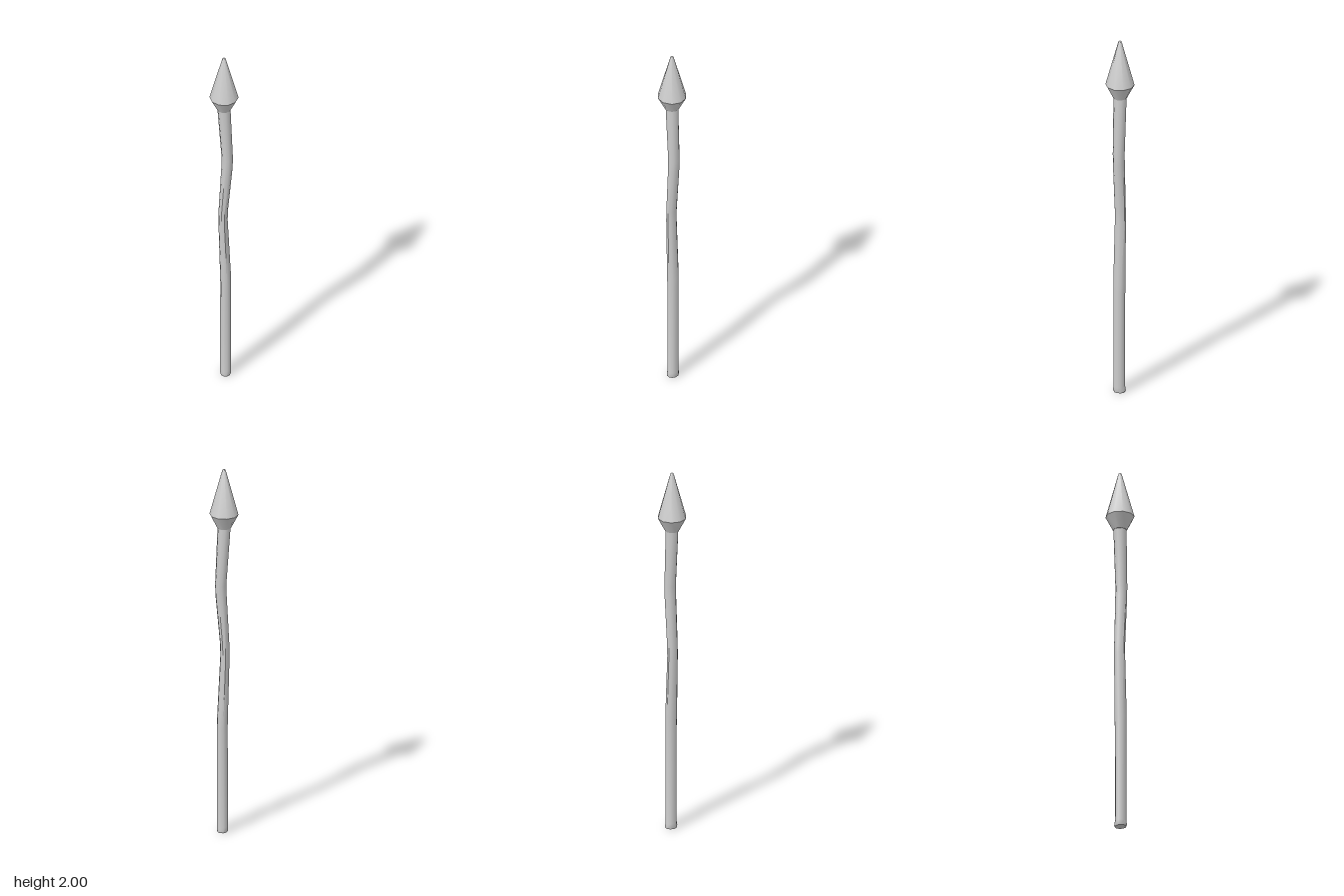
import * as THREE from 'three';
import { toCreasedNormals } from 'three/addons/utils/BufferGeometryUtils.js';

const SIDES = 10;
const material = new THREE.MeshStandardMaterial({ color: 0xcccccc, flatShading: false });

// Cross-sections of the crooked shaft: [height, centre x, radius x, radius z]
const SECTIONS = [
  [0, 0.008, 0.027, 0.031],
  [0.008, 0.008, 0.029, 0.034],
  [0.03, 0.008, 0.029, 0.03],
  [0.57, 0.009, 0.028, 0.031],
  [0.62, 0.008, 0.028, 0.032],
  [0.97, -0.005, 0.024, 0.029],
  [1.03, -0.004, 0.024, 0.029],
  [1.3, 0.015, 0.029, 0.031],
  [1.36, 0.017, 0.029, 0.031],
  [1.69, -0.001, 0.034, 0.034],
];

// Smooth around the sides, sharp at rims
function makeMesh(name, geometry) {
  const mesh = new THREE.Mesh(toCreasedNormals(geometry, 0.7), material);
  mesh.name = name;
  return mesh;
}

// Unit cylinder whose rows are moved onto the cross-sections
function shaftGeometry() {
  const rows = SECTIONS.length - 1;
  const geometry = new THREE.CylinderGeometry(1, 1, rows, SIDES, rows, false, Math.PI / 2);
  const p = geometry.attributes.position;
  for (let i = 0; i < p.count; i++) {
    const [y, cx, rx, rz] = SECTIONS[Math.round(p.getY(i) + rows / 2)];
    p.setXYZ(i, cx + p.getX(i) * rx, y, p.getZ(i) * rz);
  }
  return geometry;
}

// Pointed head: flared collar, sharp rim, long cone with a blunted tip
function headGeometry() {
  const profile = [[0, 1.675], [0.036, 1.675], [0.075, 1.75], [0.011, 1.985], [0.007, 1.996], [0, 2]]
    .map(([r, y]) => new THREE.Vector2(r, y));
  return new THREE.LatheGeometry(profile, SIDES, Math.PI / 2);
}

export function createModel() {
  const group = new THREE.Group();
  group.name = 'spear';
  group.add(makeMesh('shaft', shaftGeometry()), makeMesh('spearhead', headGeometry()));
  return group;
}
